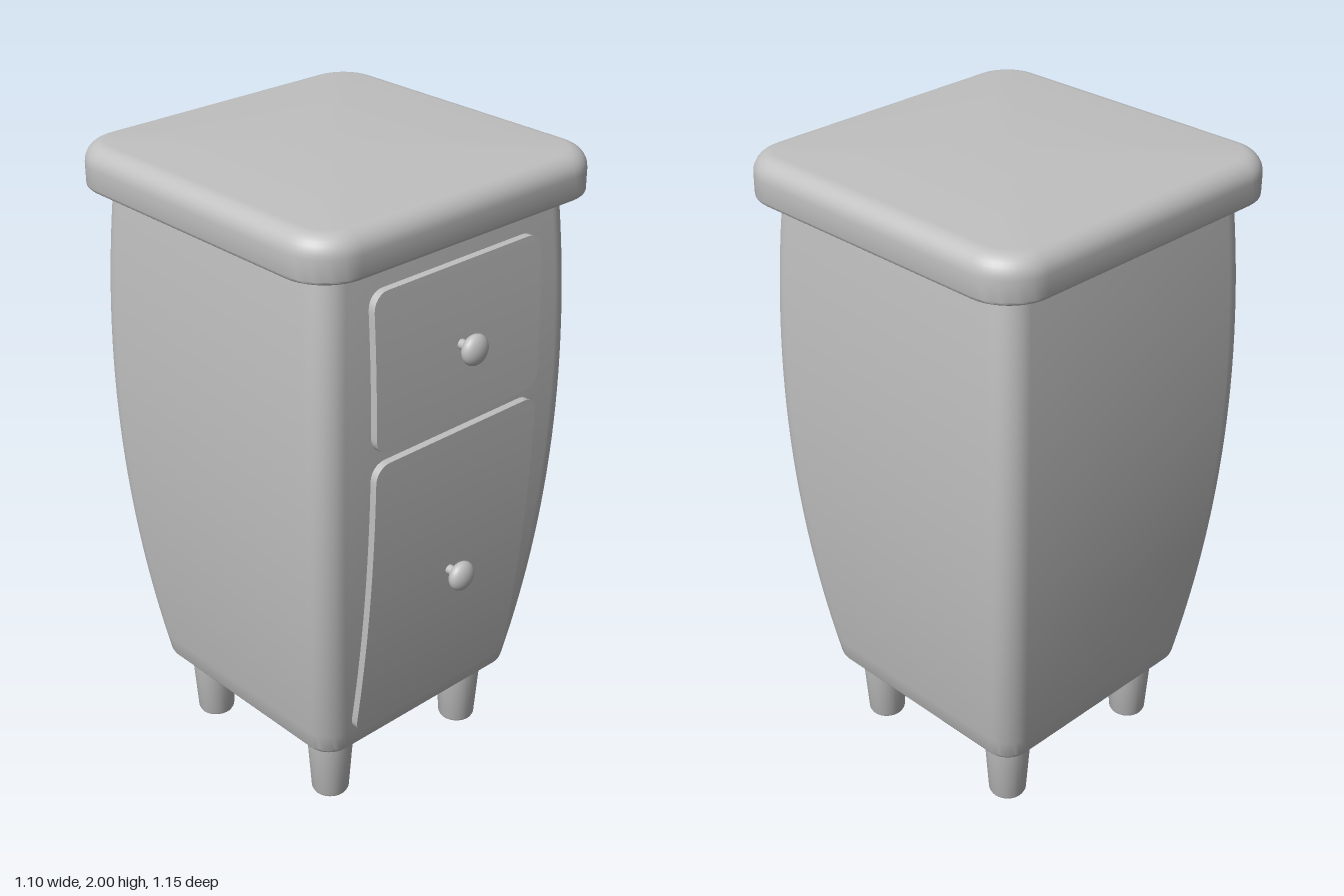
import * as THREE from 'three';
import { toCreasedNormals } from 'three/addons/utils/BufferGeometryUtils.js';

const CENTER_Z = -0.025;

// Half width of the bulging cabinet body at height y
const bulge = (y) => 0.5 - 0.08 * (y - 1.32) ** 2;

// Closed skin over rings of [x, y, z] points, stacked from bottom to top
function loft(rings) {
  const n = rings[0].length;
  const pos = rings.flat(2);
  const index = [];
  for (let i = 0; i < rings.length - 1; i++) {
    for (let j = 0; j < n; j++) {
      const k = (j + 1) % n;
      const a = i * n + j, b = i * n + k, c = a + n, d = b + n;
      index.push(a, c, d, a, d, b);
    }
  }
  const cap = (ring, start, up) => {
    const center = pos.length / 3;
    for (let c = 0; c < 3; c++) pos.push(ring.reduce((s, p) => s + p[c], 0) / n);
    for (let j = 0; j < n; j++) {
      const a = start + j, b = start + ((j + 1) % n);
      index.push(center, up ? b : a, up ? a : b);
    }
  };
  cap(rings[0], 0, false);
  cap(rings[rings.length - 1], (rings.length - 1) * n, true);
  const geometry = new THREE.BufferGeometry();
  geometry.setAttribute('position', new THREE.Float32BufferAttribute(pos, 3));
  geometry.setIndex(index);
  return toCreasedNormals(geometry, 0.6);
}

// Horizontal square ring with rounded corners
function squareRing(y, half, radius, segments = 10) {
  const ring = [];
  for (let q = 0; q < 4; q++) {
    const mid = (q + 0.5) * Math.PI / 2;
    const cx = Math.sign(Math.cos(mid)) * (half - radius);
    const cz = Math.sign(Math.sin(mid)) * (half - radius);
    for (let s = 0; s <= segments; s++) {
      const a = (q + s / segments) * Math.PI / 2;
      ring.push([cx + radius * Math.cos(a), y, cz + radius * Math.sin(a)]);
    }
  }
  return ring;
}

// Body: bulging sides with a softly rounded bottom edge
function bodyGeometry() {
  const rings = [];
  const y0 = 0.23, r = 0.028;
  for (let i = 0; i < 6; i++) {
    const a = (i / 6) * Math.PI / 2;
    const y = y0 + r * (1 - Math.cos(a));
    const inset = r * (1 - Math.sin(a));
    rings.push(squareRing(y, bulge(y) - inset, 0.08 - inset));
  }
  for (let i = 0; i <= 28; i++) {
    const y = y0 + r + (1.88 - y0 - r) * i / 28;
    rings.push(squareRing(y, bulge(y), 0.08));
  }
  return loft(rings);
}

// Top: thick slab, strongly rounded above and barely rounded below
function topGeometry() {
  const rings = [], half = 0.548, corner = 0.14;
  const edge = (r, yMid, sign, steps) => {
    for (let i = 0; i <= steps; i++) {
      const a = (sign > 0 ? i / steps : 1 - i / steps) * Math.PI / 2;
      const inset = r * (1 - Math.cos(a));
      rings.push(squareRing(yMid + sign * r * Math.sin(a), half - inset, corner - inset));
    }
  };
  edge(0.01, 1.88, -1, 3);
  edge(0.06, 1.94, 1, 8);
  return loft(rings);
}

// Drawer front: thin rounded plate that follows the bulge
function drawerGeometry(y0, y1) {
  const half = 0.325, r = 0.05, steps = 6, rows = 16;
  const levels = [];
  for (let i = 0; i < steps; i++) {
    const a = (i / steps) * Math.PI / 2;
    levels.push([y0 + r * (1 - Math.cos(a)), half - r * (1 - Math.sin(a))]);
  }
  for (let i = 0; i <= rows; i++) levels.push([y0 + r + (y1 - y0 - 2 * r) * i / rows, half]);
  for (let i = steps - 1; i >= 0; i--) {
    const a = (i / steps) * Math.PI / 2;
    levels.push([y1 - r * (1 - Math.cos(a)), half - r * (1 - Math.sin(a))]);
  }
  return loft(levels.map(([y, w]) => {
    const back = bulge(y) - 0.01, front = bulge(y) + 0.023;
    return [[w, y, back], [w, y, front], [-w, y, front], [-w, y, back]];
  }));
}

export function createModel() {
  const model = new THREE.Group();
  const cabinet = new THREE.Group();
  cabinet.name = 'nightstand';
  cabinet.position.z = CENTER_Z;
  model.add(cabinet);

  const gray = new THREE.MeshStandardMaterial({ color: 0xc0c0c0 });
  gray.name = 'light gray';

  const add = (name, geometry, x = 0, y = 0, z = 0, parent = cabinet) => {
    const mesh = new THREE.Mesh(geometry, gray);
    mesh.name = name;
    mesh.position.set(x, y, z);
    parent.add(mesh);
    return mesh;
  };

  add('body', bodyGeometry());
  add('top', topGeometry());

  // Drawers
  add('upperDrawer', drawerGeometry(1.31, 1.79));
  add('lowerDrawer', drawerGeometry(0.315, 1.277));

  // Knobs: flattened ball on a short stem
  const ball = new THREE.SphereGeometry(0.047, 32, 20).scale(1, 1, 0.6);
  const stem = new THREE.CylinderGeometry(0.015, 0.015, 0.07, 20).rotateX(Math.PI / 2);
  for (const [name, y] of [['upperKnob', 1.55], ['lowerKnob', 0.8]]) {
    const knob = new THREE.Group();
    knob.name = name;
    knob.position.set(0, y, bulge(y) + 0.023);
    cabinet.add(knob);
    add(name + 'Ball', ball, 0, 0, 0.052, knob);
    add(name + 'Stem', stem, 0, 0, 0.015, knob);
  }

  // Legs: tapered round feet with a small rounded lower edge
  const profile = [[0, 0], [0.048, 0], [0.055, 0.003], [0.059, 0.011], [0.075, 0.235]]
    .map(([x, y]) => new THREE.Vector2(x, y));
  const leg = toCreasedNormals(new THREE.LatheGeometry(profile, 32), 0.6);
  for (const [side, x] of [['Left', 0.286], ['Right', -0.286]]) {
    add('front' + side + 'Leg', leg, x, 0, 0.286);
    add('back' + side + 'Leg', leg, x, 0, -0.286);
  }

  return model;
}
